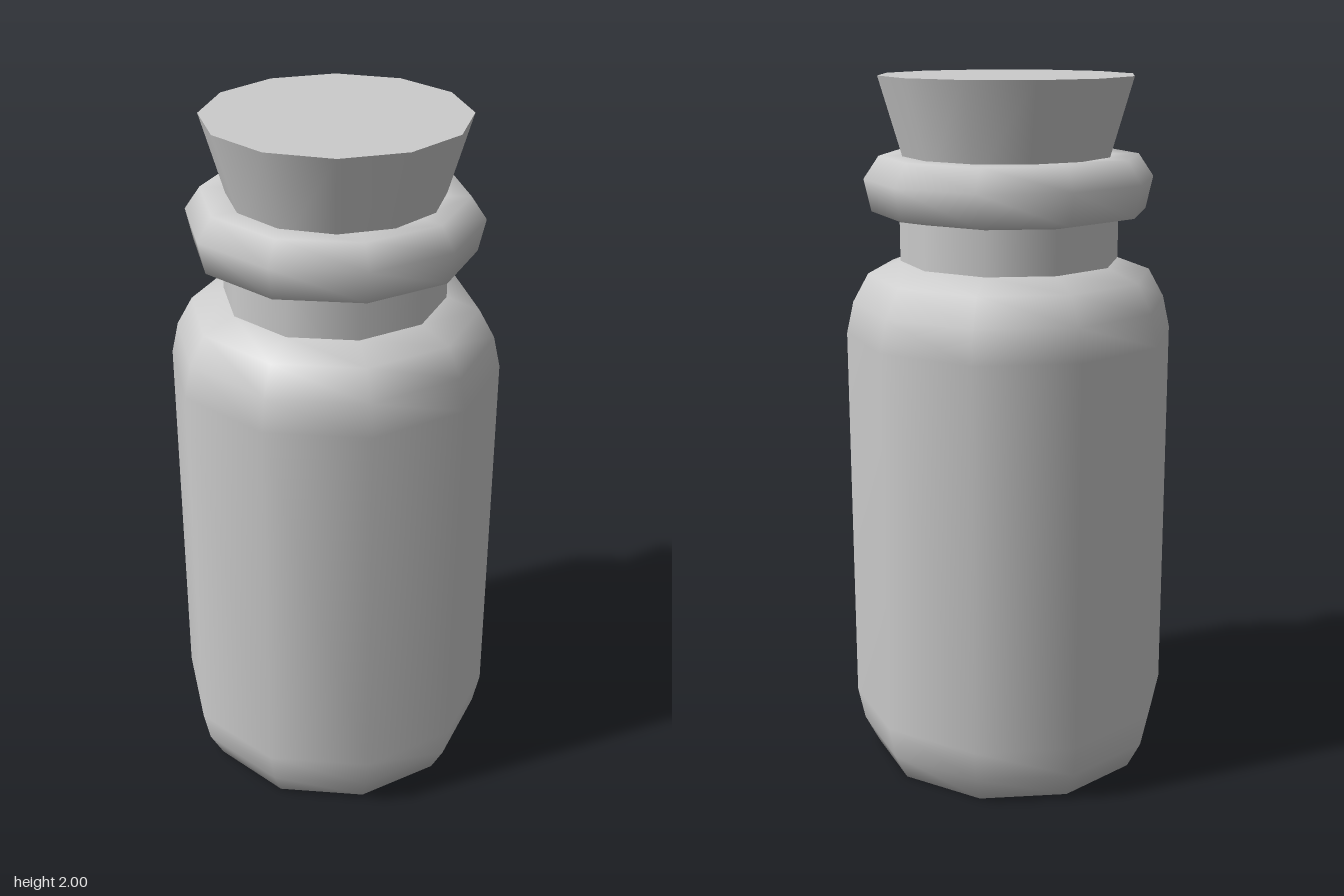
import * as THREE from 'three';

const SIDES = 10;

export function createModel() {
  const model = new THREE.Group();
  model.name = 'corkedBottle';
  const material = new THREE.MeshStandardMaterial({ color: 0xcccccc });

  const add = (name, geometry) => {
    const mesh = new THREE.Mesh(geometry, material);
    mesh.name = name;
    model.add(mesh);
    return mesh;
  };

  // Ten-sided turned part, one corner on +x; profile runs upward as [radius, y]
  const turned = (name, profile) => add(name, new THREE.LatheGeometry(
    profile.map(([r, y]) => new THREE.Vector2(r, y)), SIDES, Math.PI / 2));

  // Rounded body with softly bevelled base and shoulder
  turned('body', [
    [0, 0], [0.405, 0], [0.446, 0.08], [0.466, 0.175],
    [0.466, 1.285], [0.446, 1.375], [0.402, 1.455], [0.31, 1.49],
  ]);

  // Straight neck
  turned('neck', [[0.31, 1.49], [0.31, 1.62]]);

  // Rolled lip, closed beneath the stopper
  turned('lip', [[0.31, 1.615], [0.388, 1.63], [0.408, 1.72], [0.365, 1.783], [0.29, 1.783]]);
  turned('lipCap', [[0.29, 1.783], [0, 1.783]]);

  // Tapered twelve-sided stopper, pushed into the neck
  const stopper = add('stopper', new THREE.CylinderGeometry(0.36, 0.28, 0.27, 12));
  stopper.position.set(0, 1.865, 0.01);

  return model;
}
